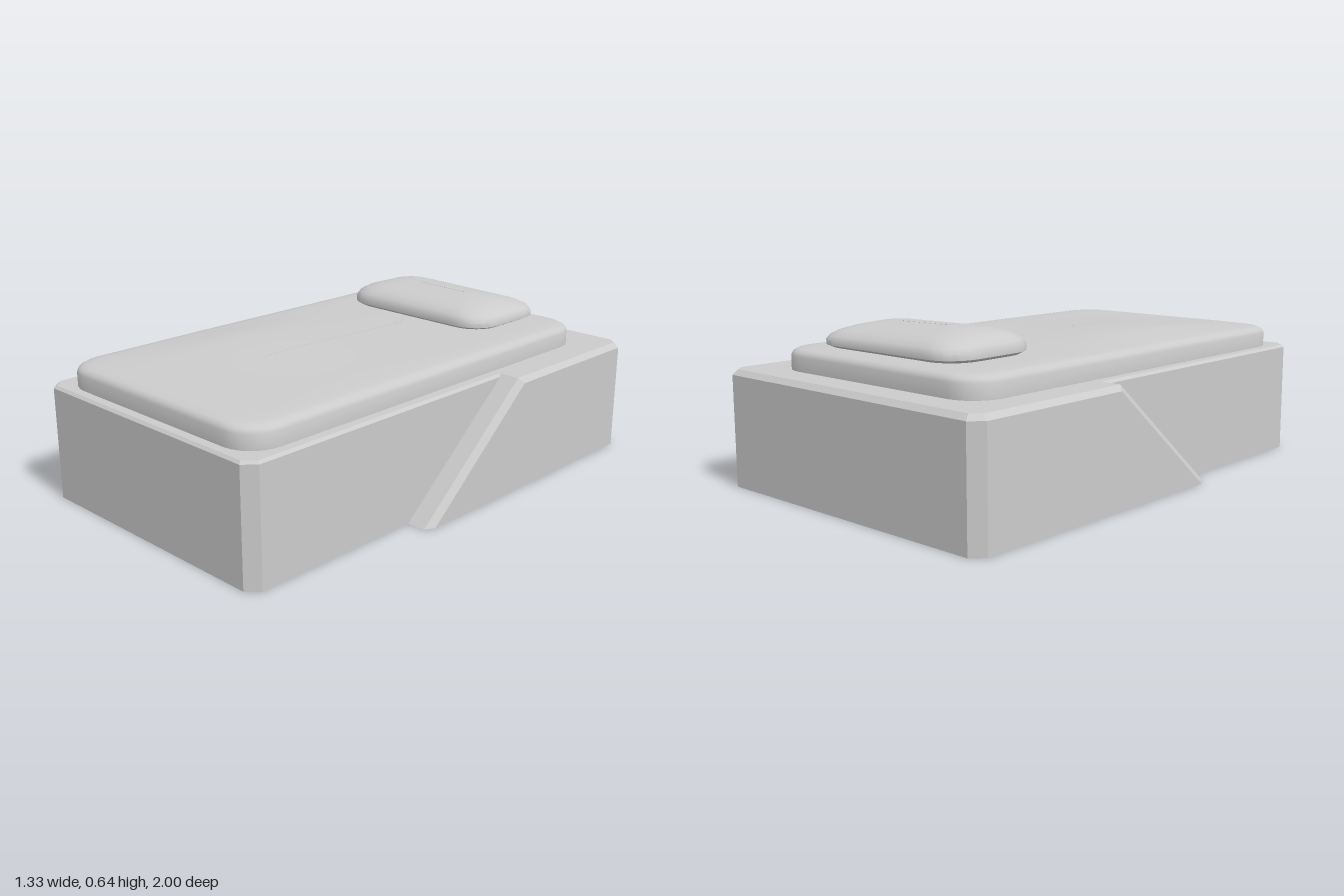
import * as THREE from 'three';
import { toCreasedNormals } from 'three/addons/utils/BufferGeometryUtils.js';

const material = new THREE.MeshStandardMaterial({ color: 0xcccccc, side: THREE.DoubleSide });

// Skin a stack of closed rings, listed from bottom to top, each an array of [x, y, z].
function loft(rings, crease) {
  const n = rings[0].length, index = [];
  for (let r = 0; r < rings.length - 1; r++) {
    for (let i = 0; i < n; i++) {
      const j = (i + 1) % n;
      const a = r * n + i, b = r * n + j, c = b + n, d = a + n;
      index.push(a, c, b, a, d, c);
    }
  }
  const geo = new THREE.BufferGeometry();
  geo.setAttribute('position', new THREE.Float32BufferAttribute(rings.flat(2), 3));
  geo.setIndex(index);
  return toCreasedNormals(geo, crease);
}

// Rounded rectangle outline in x, z with evenly divided straight edges.
function roundRect(a, b, r, cz) {
  const pts = [], arc = 6, div = 14;
  const corners = [[1, -1], [1, 1], [-1, 1], [-1, -1]].map(([sx, sz], k) => {
    const list = [];
    for (let i = 0; i <= arc; i++) {
      const t = (k - 1 + i / arc) * Math.PI / 2;
      list.push([sx * (a - r) + r * Math.cos(t), cz + sz * (b - r) + r * Math.sin(t)]);
    }
    return list;
  });
  corners.forEach((list, k) => {
    pts.push(...list);
    const p = list[arc], q = corners[(k + 1) % 4][0];
    for (let i = 1; i < div; i++) {
      pts.push([p[0] + (q[0] - p[0]) * i / div, p[1] + (q[1] - p[1]) * i / div]);
    }
  });
  return pts;
}

// Soft cushion: profile holds [inset, height], shape adjusts the height at x, z.
function cushion(a, b, r, cz, profile, shape) {
  const rings = profile.map(([d, y]) =>
    roundRect(a - d, b - d, Math.min(Math.max(r - d * 0.4, 0.02), a - d), cz)
      .map(([x, z]) => [x, shape(x, y, z), z]));
  return loft(rings, 0.7);
}

function addMesh(group, name, geometry) {
  const mesh = new THREE.Mesh(geometry, material);
  mesh.name = name;
  group.add(mesh);
}

// Complete a left half outline, running from back centre to front centre.
const mirror = half => [
  ...half, ...half.slice(1, -1).reverse().map(([x, ...rest]) => [-x, ...rest]),
];

export function createModel() {
  const group = new THREE.Group();
  group.name = 'bed';

  // Hollow frame: a wider rear section ends in slanted wings
  const foot = [[0, 0, -1], [0.62, 0, -1], [0.665, 0, -0.955], [0.665, 0, 0.21], [0.645, 0, 0.25],
    [0.57, 0, 0.25], [0.57, 0, 0.955], [0.527, 0, 1], [0, 0, 1]];
  const shoulder = [[0, 0.43, -1], [0.62, 0.43, -1], [0.665, 0.43, -0.955], [0.665, 0.43, -0.296],
    [0.645, 0.45, -0.28], [0.57, 0.44, -0.268], [0.57, 0.44, 0.955], [0.527, 0.44, 1], [0, 0.44, 1]];
  const rim = [[0, 0.45, -0.98], [0.61, 0.45, -0.98], [0.645, 0.45, -0.945], [0.645, 0.45, -0.28],
    [0.645, 0.45, -0.28], [0.56, 0.45, -0.28], [0.56, 0.45, 0.95], [0.52, 0.45, 0.99], [0, 0.45, 0.99]];
  addMesh(group, 'frameWalls', loft([foot, shoulder, rim].map(mirror), 0.1));

  // Flat frame top, open beneath the mattress
  const toPoint = ([x, z]) => new THREE.Vector2(x, -z);
  const outline = mirror(rim.filter((p, i) => i !== 4)).map(([x, , z]) => toPoint([x, z]));
  const top = new THREE.Shape(outline);
  top.holes.push(new THREE.Path(roundRect(0.525, 0.91, 0.13, 0.045).map(toPoint)));
  const topGeo = new THREE.ShapeGeometry(top);
  topGeo.rotateX(-Math.PI / 2).translate(0, 0.45, 0);
  addMesh(group, 'frameTop', topGeo);

  // Mattress with a low off-centre swell
  const swell = (x, z) => {
    const u = (x + 0.26) / (x > -0.26 ? 0.45 : 0.15);
    const v = (z - 0.3) / 0.38;
    return 0.024 * Math.exp(-u * u - v * v);
  };
  const mattress = [[0, 0.45], [0, 0.505], [0.006, 0.519], [0.02, 0.528], [0.05, 0.532], [0.1, 0.534],
    [0.16, 0.535], [0.22, 0.535], [0.27, 0.535], [0.34, 0.535], [0.42, 0.535], [0.524, 0.535]];
  addMesh(group, 'mattress', cushion(0.525, 0.91, 0.13, 0.045, mattress,
    (x, y, z) => y + swell(x, z) * Math.min(1, Math.max(0, (y - 0.505) / 0.03))));

  // Pillow, slightly fuller on one side and towards the front
  const pillow = [[0.214, 0.545], [0.02, 0.545], [0, 0.556], [0, 0.575], [0.012, 0.594], [0.04, 0.611],
    [0.08, 0.624], [0.13, 0.634], [0.17, 0.638], [0.214, 0.64]];
  addMesh(group, 'pillow', cushion(0.37, 0.215, 0.12, -0.6, pillow,
    (x, y, z) => 0.545 + (y - 0.545) * (1 - 0.2 * x + 0.3 * (z + 0.6))));

  return group;
}
